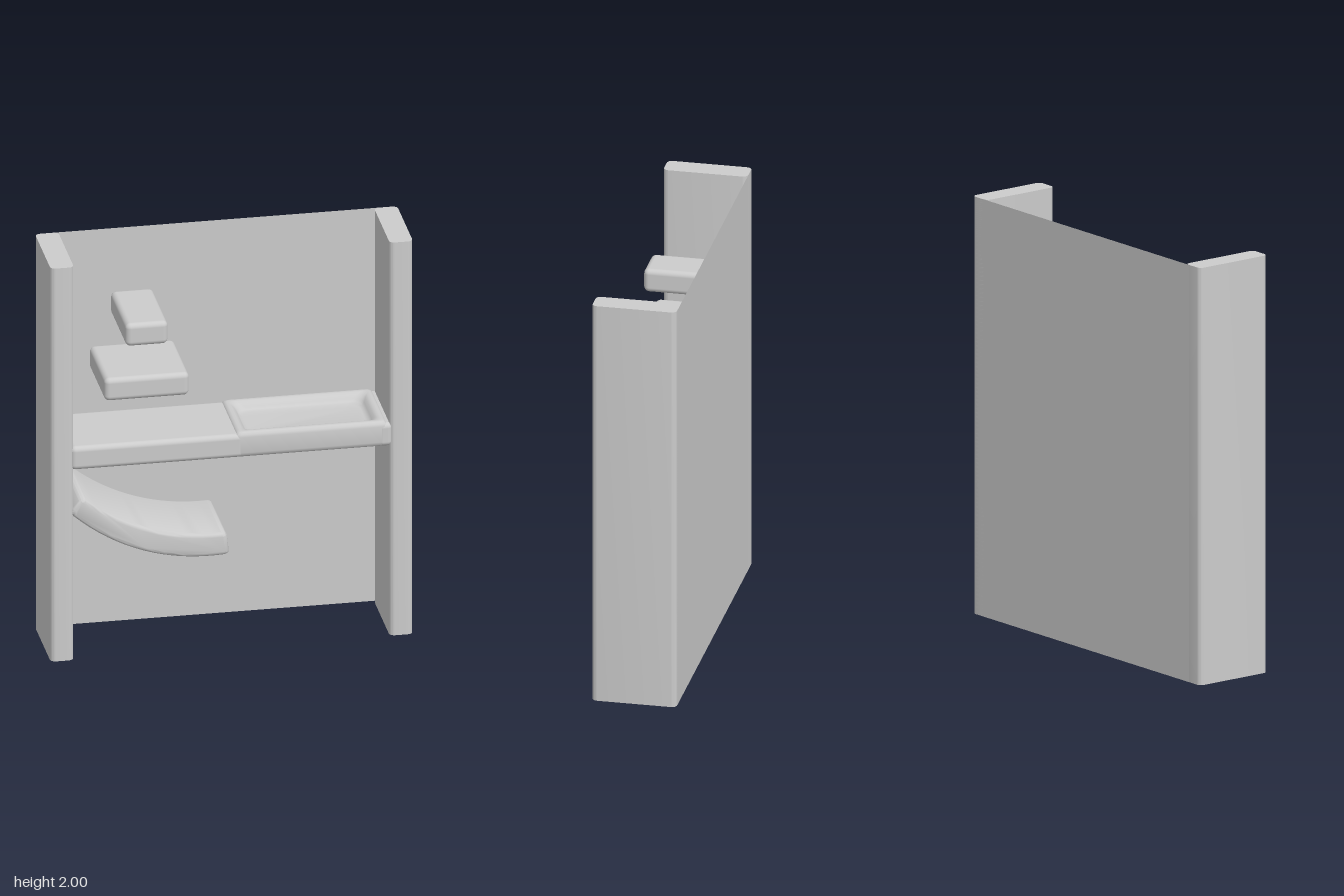
import * as THREE from 'three';
import { toCreasedNormals } from 'three/addons/utils/BufferGeometryUtils.js';
import { RoundedBoxGeometry } from 'three/addons/geometries/RoundedBoxGeometry.js';

const material = new THREE.MeshStandardMaterial({ color: 0xcccccc });
const thinMaterial = new THREE.MeshStandardMaterial({ color: 0xcccccc, side: THREE.DoubleSide });

// Points around a rounded rectangle, counter-clockwise
function roundedRect(x0, x1, y0, y1, r, steps = 6) {
  const points = [];
  const corners = [[x1 - r, y1 - r], [x0 + r, y1 - r], [x0 + r, y0 + r], [x1 - r, y0 + r]];
  corners.forEach(([cx, cy], c) => {
    for (let i = 0; i <= steps; i++) {
      const a = (c + i / steps) * Math.PI / 2;
      points.push(new THREE.Vector2(cx + r * Math.cos(a), cy + r * Math.sin(a)));
    }
  });
  return points;
}

// Joins rounded-rectangle rings, listed from the underside to the basin floor
function basinGeometry(x0, x1, depth, rings) {
  const positions = [], indices = [];
  let n = 0;
  for (const [inset, y, r] of rings) {
    const loop = roundedRect(x0 + inset, x1 - inset, -depth / 2 + inset, depth / 2 - inset, r);
    n = loop.length;
    for (const p of loop) positions.push(p.x, y, -p.y);
  }
  for (let j = 0; j < rings.length - 1; j++) {
    for (let i = 0; i < n; i++) {
      const a = j * n + i, b = j * n + (i + 1) % n;
      indices.push(a, b, b + n, a, b + n, a + n);
    }
  }
  const last = (rings.length - 1) * n;
  for (let i = 1; i < n - 1; i++) {
    indices.push(0, i + 1, i);
    indices.push(last, last + i, last + i + 1);
  }
  const geometry = new THREE.BufferGeometry();
  geometry.setAttribute('position', new THREE.Float32BufferAttribute(positions, 3));
  geometry.setIndex(indices);
  return toCreasedNormals(geometry, 0.8);
}

export function createModel() {
  const model = new THREE.Group();
  const add = (name, geometry, mat = material) => {
    const mesh = new THREE.Mesh(geometry, mat);
    mesh.name = name;
    model.add(mesh);
    return mesh;
  };
  const addSlab = (name, x0, x1, y0, y1) => {
    const slab = add(name, new RoundedBoxGeometry(x1 - x0, y1 - y0, 0.398, 4, Math.min(0.025, (x1 - x0) / 2.1)));
    slab.position.set((x0 + x1) / 2, (y0 + y1) / 2, 0.001);
  };

  // Side walls: rounded upright edges, flat ends
  for (const side of [1, -1]) {
    const shape = new THREE.Shape(roundedRect(-0.055, 0.055, -0.2, 0.2, 0.025));
    const geometry = new THREE.ExtrudeGeometry(shape, { depth: 2, bevelEnabled: false });
    geometry.rotateX(-Math.PI / 2);
    const wall = add(side > 0 ? 'leftWall' : 'rightWall', toCreasedNormals(geometry, 0.7));
    wall.position.x = side * 0.8;
  }

  // Thin back panel
  add('backPanel', new THREE.PlaneGeometry(1.66, 2), thinMaterial).position.set(0, 1, -0.2);

  // Small shelves
  addSlab('upperShelf', -0.5, -0.3, 1.57, 1.685);
  addSlab('middleShelf', -0.6, -0.2, 1.3, 1.415);

  // Counter on either side of the basin
  addSlab('counter', -0.76, 0.06, 0.962, 1.08);
  addSlab('counterEnd', 0.69, 0.76, 0.962, 1.08);

  // Basin block with a shallow recess: inset, height, corner radius
  add('basin', basinGeometry(0.02, 0.735, 0.398, [
    [0.025, 0.962, 0.005], [0.012, 0.965, 0.01], [0.003, 0.974, 0.015], [0, 0.987, 0.02],
    [0, 1.065, 0.02], [0.003, 1.078, 0.02], [0.012, 1.087, 0.02], [0.022, 1.09, 0.02],
    [0.035, 1.088, 0.03], [0.047, 1.08, 0.04], [0.057, 1.065, 0.05], [0.066, 1.054, 0.05], [0.08, 1.05, 0.05],
  ]));

  // Curved chute
  const chute = new THREE.Shape();
  chute.moveTo(-0.745, 0.725);
  chute.bezierCurveTo(-0.54, 0.54, -0.3, 0.455, -0.035, 0.473);
  chute.quadraticCurveTo(-0.012, 0.475, -0.012, 0.497);
  chute.lineTo(-0.02, 0.565);
  chute.quadraticCurveTo(-0.025, 0.588, -0.05, 0.587);
  chute.bezierCurveTo(-0.28, 0.578, -0.5, 0.655, -0.68, 0.805);
  chute.quadraticCurveTo(-0.702, 0.823, -0.722, 0.805);
  chute.lineTo(-0.75, 0.765);
  chute.quadraticCurveTo(-0.762, 0.745, -0.745, 0.725);
  const chuteGeometry = new THREE.ExtrudeGeometry(chute, {
    depth: 0.358, curveSegments: 16, bevelThickness: 0.02, bevelSize: 0.02, bevelOffset: -0.02, bevelSegments: 4,
  });
  chuteGeometry.translate(0, 0, -0.178);
  add('curvedChute', toCreasedNormals(chuteGeometry, 0.8));

  return model;
}
